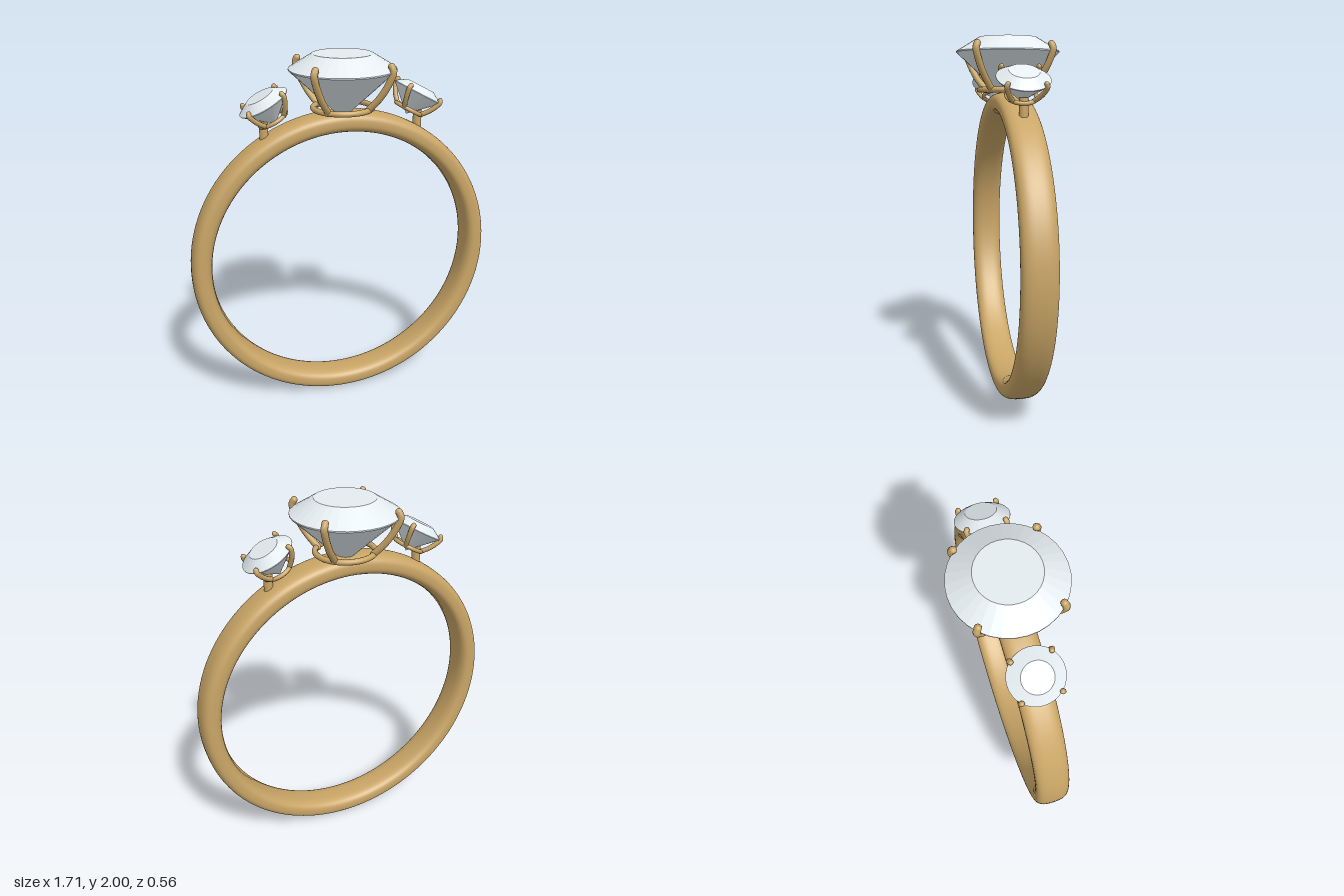
import * as THREE from 'three';

const gold = new THREE.MeshStandardMaterial({ color: 0xc9a566 });
const crystal = new THREE.MeshStandardMaterial({ color: 0xe4ecf0, flatShading: true });
const v2 = (x, y) => new THREE.Vector2(x, y);

function add(parent, name, geometry, material) {
  const mesh = new THREE.Mesh(geometry, material);
  mesh.name = name;
  parent.add(mesh);
  return mesh;
}

// Soft-cornered band: a superellipse section revolved round the finger axis
function bandGeometry() {
  const profile = [];
  const n = 40;
  const power = (c) => Math.sign(c) * Math.pow(Math.abs(c), 2 / 2.7);
  for (let i = 0; i <= n; i++) {
    const t = Math.PI + (i / n) * Math.PI * 2;
    profile.push(v2(0.7985 + 0.0555 * power(Math.cos(t)), 0.09 * power(Math.sin(t))));
  }
  return new THREE.LatheGeometry(profile, 128).rotateX(Math.PI / 2);
}

// Stone with its basket: origin at the girdle centre, s = size, wire = prong radius
function makeSetting(name, s, wire) {
  const setting = new THREE.Group();
  setting.name = name;

  // Cut stone: pointed pavilion, girdle, crown and flat table
  const cut = [v2(0, -0.263), v2(0.28, -0.003), v2(0.28, 0.003), v2(0.157, 0.077), v2(0, 0.077)];
  add(setting, 'stone', new THREE.LatheGeometry(cut.map((p) => p.multiplyScalar(s)), 32), crystal);

  // Base ring under the stone
  const ring = add(setting, 'baseRing', new THREE.TorusGeometry(0.155 * s, wire * 0.85, 12, 48), gold);
  ring.rotation.x = Math.PI / 2;
  ring.position.y = -0.201 * s;

  // Four curved prongs hooking over the girdle
  const path = [[0.15, -0.201], [0.215, -0.13], [0.265, -0.05], [0.286, 0.01], [0.274, 0.033]]
    .map(([r, y]) => new THREE.Vector3(r * s, y * s, 0));
  const curve = new THREE.CatmullRomCurve3(path);
  for (let i = 0; i < 4; i++) {
    const prong = new THREE.Group();
    prong.name = 'prong';
    prong.rotation.y = Math.PI / 4 + (i * Math.PI) / 2;
    add(prong, 'prongWire', new THREE.TubeGeometry(curve, 24, wire, 10), gold);
    for (const end of [path[0], path[path.length - 1]]) {
      add(prong, 'prongTip', new THREE.SphereGeometry(wire, 12, 8), gold).position.copy(end);
    }
    setting.add(prong);
  }
  return setting;
}

export function createModel() {
  const model = new THREE.Group();
  model.name = 'threeStoneRing';

  add(model, 'band', bandGeometry(), gold).position.y = 0.855;

  const centre = makeSetting('centreSetting', 1, 0.018);
  centre.position.y = 1.923;
  model.add(centre);

  // Side stones tilt outwards, each on a short post
  for (const side of [1, -1]) {
    const setting = makeSetting(side > 0 ? 'leftSetting' : 'rightSetting', 0.49, 0.013);
    setting.position.set(side * 0.418, 1.775, 0);
    setting.rotation.z = -side * 0.49;
    model.add(setting);

    const post = add(model, side > 0 ? 'leftPost' : 'rightPost',
      new THREE.CylinderGeometry(0.023, 0.023, 0.095, 20), gold);
    post.position.set(side * 0.422, 1.633, 0);
  }
  return model;
}
